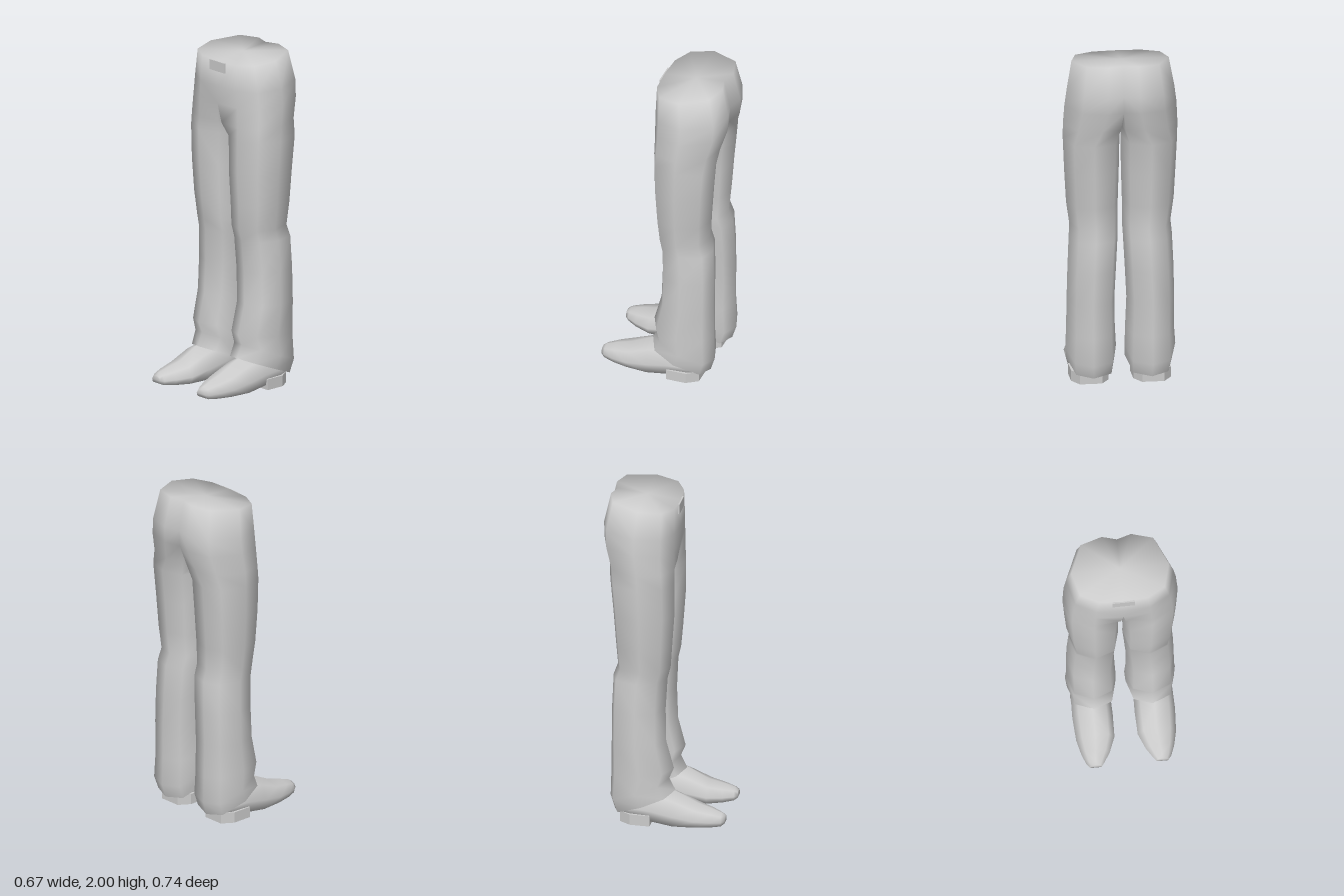
import * as THREE from 'three';

const material = new THREE.MeshStandardMaterial({ color: 0xcccccc, side: THREE.DoubleSide });

// Skin a list of closed rings; side = -1 mirrors the part in x.
function loft(rings, side, capStart, capEnd) {
  const n = rings[0].length, index = [];
  const tri = (a, b, c) => (side > 0 ? index.push(a, b, c) : index.push(a, c, b));
  for (let r = 0; r < rings.length - 1; r++) {
    for (let i = 0; i < n; i++) {
      const a = r * n + i, b = r * n + (i + 1) % n, c = a + n, d = b + n;
      tri(c, d, b);
      tri(c, b, a);
    }
  }
  const last = (rings.length - 1) * n;
  for (let i = 0; i < n - 2; i++) {
    if (capStart) tri(n - 1, i, i + 1);
    if (capEnd) tri(last + n - 1, last + i + 1, last + i);
  }
  const geo = new THREE.BufferGeometry();
  const points = rings.flat().map(([x, y, z]) => [x * side, y, z]).flat();
  geo.setAttribute('position', new THREE.Float32BufferAttribute(points, 3));
  geo.setIndex(index);
  geo.computeVertexNormals();
  // Keep the shading continuous where the two halves meet
  const p = geo.attributes.position, nor = geo.attributes.normal, v = new THREE.Vector3();
  for (let i = 0; i < p.count; i++) {
    if (Math.abs(p.getX(i)) > 0.001) continue;
    v.fromBufferAttribute(nor, i).setX(0).normalize();
    nor.setXYZ(i, v.x, v.y, v.z);
  }
  return geo;
}

// Half-pelvis and leg outlines: u runs inner to outer, v back to front
const PELVIS = [[0, 1], [0.5, 0.98], [0.87, 0.84], [1, 0.5], [0.74, 0.09], [0.3, 0], [0, 0.06], [0, 0.5]];
const LEG = [[0.12, 0.88], [0.5, 1], [0.88, 0.86], [1, 0.5], [0.85, 0.1], [0.5, 0], [0.12, 0.1], [0, 0.5]];

function trouserRing([xIn, xOut, zFront, zBack, yFront, yBack, round]) {
  return PELVIS.map(([pu, pv], i) => {
    const u = THREE.MathUtils.lerp(pu, LEG[i][0], round);
    const v = THREE.MathUtils.lerp(pv, LEG[i][1], round);
    return [xIn + (xOut - xIn) * u, yBack + (yFront - yBack) * v, zBack + (zFront - zBack) * v];
  });
}

// Waist down to hem: xIn, xOut, zFront, zBack, yFront, yBack, roundness
const TROUSERS = [
  [0, 0.285, 0.065, -0.33, 1.955, 2.0, 0],
  [0, 0.315, 0.068, -0.37, 1.8, 1.82, 0],
  [0, 0.328, 0.068, -0.365, 1.7, 1.72, 0],
  [0, 0.335, 0.066, -0.33, 1.58, 1.6, 0.35],
  [0.003, 0.335, 0.064, -0.318, 1.5, 1.5, 1],
  [0.006, 0.326, 0.062, -0.3, 1.3, 1.3, 1],
  [0.012, 0.315, 0.048, -0.285, 1.1, 1.1, 1],
  [0.012, 0.296, 0.037, -0.275, 0.96, 0.96, 1],
  [0.015, 0.302, 0.02, -0.3, 0.89, 0.89, 1],
  [0.025, 0.31, 0.01, -0.307, 0.7, 0.7, 1],
  [0.035, 0.315, 0.015, -0.308, 0.5, 0.5, 1],
  [0.03, 0.315, 0.06, -0.31, 0.33, 0.3, 1],
  [0.025, 0.322, 0.033, -0.315, 0.265, 0.13, 1],
  [0.03, 0.312, 0.07, -0.29, 0.19, 0.05, 1],
];

// Turned-in underside of the hem
const LINING = [TROUSERS[TROUSERS.length - 1], [0.05, 0.292, 0.04, -0.265, 0.23, 0.1, 1]];

// Shoe cross-section, and sections from toe to heel: z, centre x, half width, bottom, top
const SHOE_OUTLINE = [[-0.85, 0], [0.85, 0], [1, 0.35], [0.7, 0.8], [0, 1], [-0.7, 0.8], [-1, 0.35]];
const SHOE = [
  [0.37, 0.195, 0.036, 0.025, 0.065],
  [0.35, 0.195, 0.052, 0.012, 0.08],
  [0.29, 0.188, 0.083, 0.008, 0.1],
  [0.2, 0.18, 0.112, 0.006, 0.125],
  [0.07, 0.182, 0.118, 0.006, 0.19],
  [-0.05, 0.182, 0.115, 0.025, 0.22],
  [-0.18, 0.182, 0.105, 0.045, 0.21],
  [-0.25, 0.182, 0.07, 0.055, 0.17],
];
const shoeRing = ([z, x, w, y0, y1]) => SHOE_OUTLINE.map(([u, v]) => [x + u * w, y0 + (y1 - y0) * v, z]);

// Heel block: straight front edge, narrower back
function heelGeometry(side) {
  const shape = new THREE.Shape([[-0.115, 0.06], [0.115, 0.06], [0.11, 0.18], [0.065, 0.245], [-0.065, 0.245], [-0.11, 0.18]]
    .map(([x, z]) => new THREE.Vector2(x, z)));
  const geo = new THREE.ExtrudeGeometry(shape, { depth: 0.065, bevelEnabled: false });
  return geo.rotateX(-Math.PI / 2).translate(0.182 * side, 0, 0);
}

export function createModel() {
  const group = new THREE.Group();
  const add = (name, geo) => {
    const mesh = new THREE.Mesh(geo, material);
    mesh.name = name;
    group.add(mesh);
    return mesh;
  };
  for (const [label, side] of [['left', 1], ['right', -1]]) {
    add(label + 'TrouserLeg', loft(TROUSERS.map(trouserRing), side, true, false));
    add(label + 'HemLining', loft(LINING.map(trouserRing), side, false, true));
    add(label + 'Shoe', loft(SHOE.map(shoeRing), side, true, true));
    add(label + 'Heel', heelGeometry(side));
  }
  add('buckle', new THREE.BoxGeometry(0.13, 0.06, 0.012)).position.set(0, 1.922, 0.066);
  return group;
}
